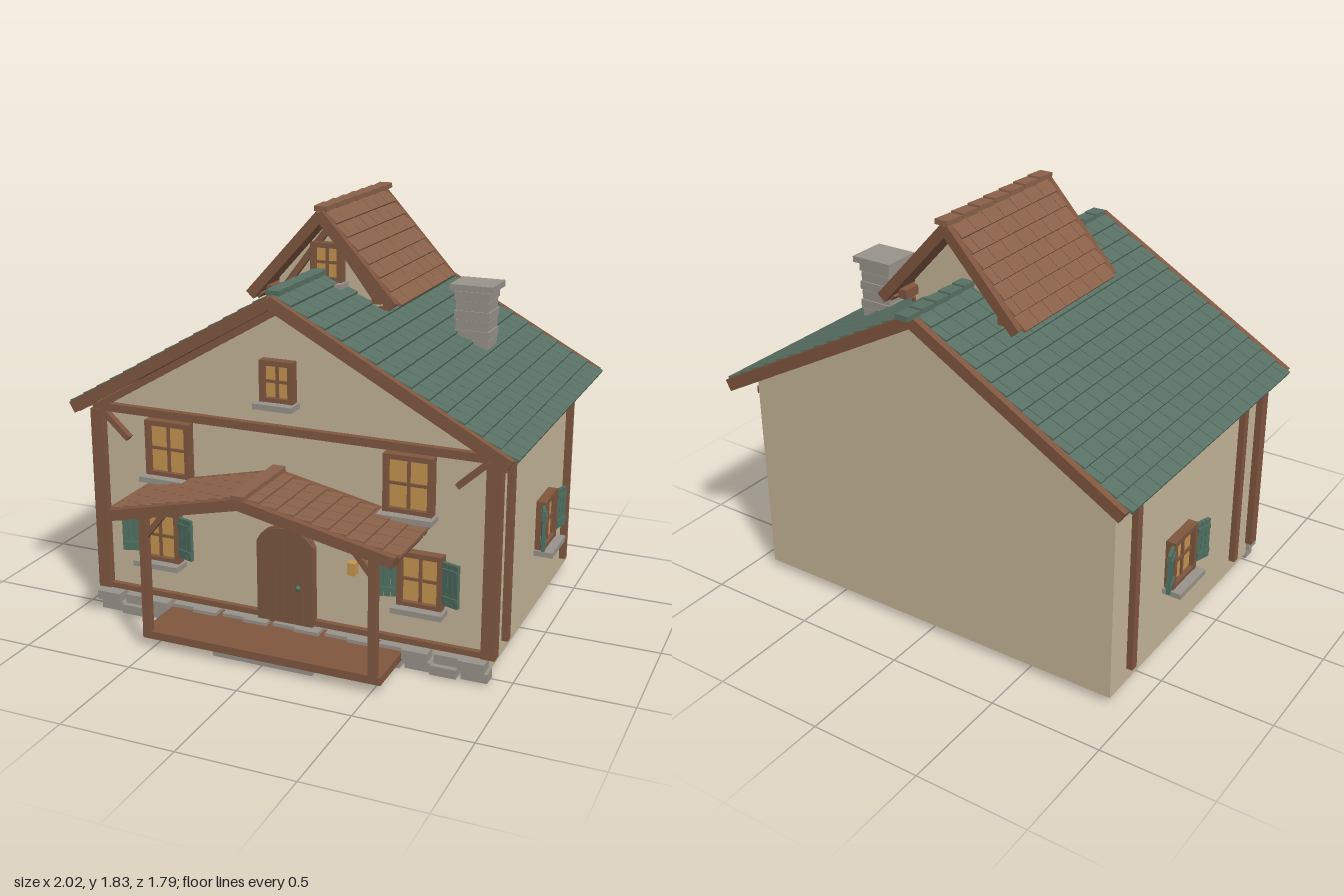
import * as THREE from 'three';
import { mergeGeometries } from 'three/addons/utils/BufferGeometryUtils.js';

const mat = (name, color) => {
  const m = new THREE.MeshStandardMaterial({ color });
  m.name = name;
  return m;
};

export function createModel() {
  const M = {
    wall: mat('plaster', 0xc4b498),
    timber: mat('timber', 0x80563f),
    brownTile: mat('brown shingle', 0x8a614a),
    greenTile: mat('green shingle', 0x587064),
    shutter: mat('shutter green', 0x4f6e60),
    stone: mat('stone', 0x98938a),
    glass: mat('warm glass', 0xc4954f),
    door: mat('door wood', 0x7a5742),
  };
  const model = new THREE.Group();
  model.name = 'cottage';

  const add = (parent, name, geo, material) => {
    const m = new THREE.Mesh(geo, material);
    m.name = name;
    parent.add(m);
    return m;
  };
  // Box geometry given by its limits
  const boxGeo = (x0, x1, y0, y1, z0, z1) =>
    new THREE.BoxGeometry(x1 - x0, y1 - y0, z1 - z0).translate((x0 + x1) / 2, (y0 + y1) / 2, (z0 + z1) / 2);
  const box = (parent, name, material, ...limits) => add(parent, name, boxGeo(...limits), material);
  // Sloping beam in a plane of constant z
  const beam = (name, x0, y0, x1, y1, z, thick, depth) => {
    const m = add(model, name, new THREE.BoxGeometry(Math.hypot(x1 - x0, y1 - y0), thick, depth), M.timber);
    m.position.set((x0 + x1) / 2, (y0 + y1) / 2, z);
    m.rotation.z = Math.atan2(y1 - y0, x1 - x0);
    return m;
  };
  const prism = (name, pts, z0, z1, material) => {
    const shape = new THREE.Shape(pts.map(p => new THREE.Vector2(...p)));
    const geo = new THREE.ExtrudeGeometry(shape, { depth: z1 - z0, bevelEnabled: false });
    return add(model, name, geo.translate(0, 0, z0), material);
  };

  // Gabled roof: deck, staggered shingles, barge boards, eave boards and ridge caps
  function roof(name, o) {
    const g = new THREE.Group();
    g.name = name;
    model.add(g);
    for (const s of [-1, 1]) {
      const dx = s * o.eaveX - o.x, dy = o.eaveY - o.y, L = Math.hypot(dx, dy);
      const side = new THREE.Group();
      side.name = name + (s > 0 ? 'LeftSlope' : 'RightSlope');
      side.position.set(o.x, o.y, 0);
      side.rotation.z = Math.atan2(dy, dx);
      g.add(side);
      const yb = (a, b) => (s > 0 ? [a, b] : [-b, -a]);
      box(side, 'deck', M.timber, 0, L - 0.01, ...yb(-0.03, 0), o.z0 + 0.01, o.z1 - 0.01);
      for (const [a, b] of [[o.z0, o.z0 + 0.03], [o.z1 - 0.03, o.z1]])
        box(side, 'bargeBoard', M.timber, 0, L, ...yb(-o.barge, 0.016), a, b);
      box(side, 'eaveBoard', M.timber, L - 0.035, L - 0.005, ...yb(-0.04, 0.002), o.z0 + 0.03, o.z1 - 0.03);
      const tiles = [], row = (L + 0.01) / o.rows;
      const za = o.z0 + 0.03, zb = o.z1 - 0.03, w = (zb - za) / o.cols;
      for (let r = 0; r < o.rows; r++) {
        const shift = r % 2 ? 0.5 : 0;
        for (let c = 0; c < o.cols + shift; c++) {
          const a = Math.max(za, za + (c - shift) * w), b = Math.min(zb, za + (c - shift + 1) * w);
          tiles.push(new THREE.BoxGeometry(row * 1.12, 0.013, b - a - 0.003)
            .rotateZ(s * 0.13)
            .translate((r + 0.5) * row, s * 0.011, (a + b) / 2));
        }
      }
      add(side, 'shingles', mergeGeometries(tiles), o.tile);
    }
    const caps = [], step = (o.z1 - o.z0 + 0.01) / o.caps;
    for (let i = 0; i < o.caps; i++)
      caps.push(new THREE.BoxGeometry(0.06, 0.022, step - 0.008)
        .rotateX(0.05).translate(o.x, o.y + 0.02, o.z1 - (i + 0.5) * step - o.capShift));
    add(g, 'ridgeCaps', mergeGeometries(caps), o.tile);
  }

  // Window facing +z, centred on its own origin at the wall
  function makeWindow(name, x, y, z, turn, w, h, shutters) {
    const g = new THREE.Group();
    g.name = name;
    g.position.set(x, y, z);
    g.rotation.y = turn;
    model.add(g);
    const a = w / 2, b = h / 2, t = 0.022;
    box(g, 'pane', M.glass, -a + 0.01, a - 0.01, -b + 0.01, b - 0.01, 0, 0.022);
    for (const s of [-1, 1]) {
      const xs = s * (a - t / 2), ys = s * (b - t / 2);
      box(g, 'jamb', M.timber, xs - t / 2, xs + t / 2, -b, b, -0.01, 0.045);
      box(g, 'rail', M.timber, -a, a, ys - t / 2, ys + t / 2, -0.01, 0.043);
    }
    box(g, 'mullion', M.timber, -0.006, 0.006, -b, b, 0, 0.032);
    box(g, 'crossbar', M.timber, -a, a, -0.006, 0.006, 0, 0.031);
    box(g, 'sill', M.stone, -a - 0.013, a + 0.013, -b - 0.02, -b + 0.004, -0.01, 0.085);
    if (!shutters) return;
    for (const s of [-1, 1]) {
      const sh = new THREE.Group();
      sh.name = 'shutter';
      sh.position.set(s * (a + 0.002), 0.01, 0.035);
      sh.rotation.y = -s * 0.3;
      g.add(sh);
      for (let i = 0; i < 3; i++) {
        const c = s * (0.013 + i * 0.026);
        box(sh, 'slat', M.shutter, c - 0.012, c + 0.012, -0.093, 0.093, -0.008, 0.008);
      }
      for (const yy of [-0.06, 0.06])
        box(sh, 'batten', M.shutter, s * 0.038 - 0.036, s * 0.038 + 0.036, yy - 0.01, yy + 0.01, -0.012, 0.014);
    }
  }

  // House body and roof
  prism('houseWalls', [[-0.9, 0.045], [0.9, 0.045], [0.9, 0.97], [-0.03, 1.475], [-0.9, 0.97]], -0.75, 0.505, M.wall);
  roof('mainRoof', { x: -0.03, y: 1.525, eaveX: 0.985, eaveY: 0.975, z0: -0.85, z1: 0.605,
    rows: 14, cols: 16, barge: 0.037, tile: M.greenTile, caps: 16, capShift: 0.04 });

  // Timber framing
  box(model, 'sillBeam', M.timber, -0.92, 0.92, 0.108, 0.133, 0.49, 0.53);
  box(model, 'tieBeam', M.timber, -0.92, 0.92, 0.945, 0.98, 0.49, 0.535);
  for (const s of [-1, 1]) {
    box(model, 'cornerPost', M.timber, s * 0.9 - 0.03, s * 0.9 + 0.03, 0.11, 0.95, 0.485, 0.54);
    beam('cornerBrace', s * 0.87, 0.94, s * 0.75, 0.83, 0.52, 0.026, 0.03);
    beam('gableRafter', s * 0.89, 0.965, -0.03, 1.465, 0.52, 0.03, 0.035);
    for (const z of [0.33, -0.605])
      box(model, 'sidePost', M.timber, s * 0.91 - 0.018, s * 0.91 + 0.018, 0.11, 0.95, z - 0.018, z + 0.018);
    box(model, 'sideRail', M.timber, s * 0.911 - 0.018, s * 0.911 + 0.018, 0.895, 0.928, -0.73, 0.48);
  }

  // Foundation stones
  const stones = [];
  for (let r = 0; r < 2; r++)
    for (let i = 0; i < 15; i++) {
      const c = -0.85 + i * 0.1214 + (r ? 0.008 : -0.004) * (i % 2 ? 1 : -1);
      const y = 0.018 + r * 0.046;
      stones.push(boxGeo(c - 0.056, c + 0.056, y, y + 0.041, 0.5, 0.565 + 0.015 * ((i + r) % 2)));
    }
  for (let i = 0; i < 4; i++)
    stones.push(boxGeo(-0.26 + i * 0.13, -0.14 + i * 0.13, 0.016, 0.05, 0.08, 0.15));
  add(model, 'foundationStones', mergeGeometries(stones), M.stone);

  // Windows
  for (const s of [-1, 1]) {
    makeWindow('upperWindow', s * 0.548, 0.81, 0.505, 0, 0.212, 0.25, false);
    makeWindow('lowerWindow', s * 0.605, 0.405, 0.505, 0, 0.195, 0.24, true);
    makeWindow('sideWindow', s * 0.9, 0.445, -0.225, s * Math.PI / 2, 0.2, 0.23, true);
  }
  makeWindow('atticWindow', -0.028, 1.17, 0.505, 0, 0.15, 0.18, false);

  // Arched plank door
  const archY = x => 0.445 + 0.09 * Math.sqrt(Math.max(0, 1 - (x / 0.133) ** 2));
  const arch = (x0, x1, n, dy) => {
    const pts = [[x0, 0.1], [x1, 0.1]];
    for (let i = 0; i <= n; i++) {
      const x = x1 + (x0 - x1) * i / n;
      pts.push([x, archY(x) + dy]);
    }
    return pts;
  };
  prism('doorBacking', arch(-0.132, 0.132, 16, 0.004), 0.5, 0.53, M.timber);
  for (let i = 0; i < 6; i++) {
    const x = -0.13 + i * 0.0434;
    prism('doorPlank', arch(x, x + 0.041, 3, 0), 0.51, 0.543, M.door);
  }
  add(model, 'doorKnob', new THREE.SphereGeometry(0.012, 10, 8), M.shutter).position.set(0.066, 0.28, 0.552);
  box(model, 'lantern', M.glass, 0.343, 0.378, 0.442, 0.495, 0.64, 0.678);

  // Porch
  box(model, 'porchFloor', M.timber, -0.54, 0.545, 0.055, 0.09, 0.505, 0.815);
  box(model, 'lowerStep', M.stone, -0.23, 0.228, 0.01, 0.042, 0.67, 0.77);
  box(model, 'upperStep', M.stone, -0.18, 0.178, 0.03, 0.058, 0.63, 0.73);
  for (const s of [-1, 1]) {
    const x = s * 0.513;
    box(model, 'porchPost', M.timber, x - 0.017, x + 0.017, 0.09, 0.615, 0.795, 0.83);
    box(model, 'porchBeam', M.timber, x - 0.018, x + 0.018, 0.595, 0.625, 0.5, 0.835);
    beam('porchBrace', s * 0.51, 0.52, s * 0.42, 0.63, 0.812, 0.024, 0.025);
  }
  roof('porchRoof', { x: -0.037, y: 0.768, eaveX: 0.625, eaveY: 0.632, z0: 0.505, z1: 0.895,
    rows: 9, cols: 4, barge: 0.03, tile: M.brownTile, caps: 4, capShift: 0 });

  // Roof dormer
  prism('dormerWalls', [[-0.24, 1.3], [0.24, 1.3], [0.24, 1.495], [0, 1.76], [-0.24, 1.495]], -0.46, 0.06, M.wall);
  roof('dormerRoof', { x: 0, y: 1.805, eaveX: 0.335, eaveY: 1.437, z0: -0.575, z1: 0.172,
    rows: 7, cols: 7, barge: 0.03, tile: M.brownTile, caps: 7, capShift: 0.01 });
  for (const s of [-1, 1]) {
    box(model, 'dormerPlate', M.timber, s * 0.245 - 0.02, s * 0.245 + 0.02, 1.435, 1.475, -0.54, 0.14);
    box(model, 'dormerRail', M.timber, s * 0.245 - 0.015, s * 0.245 + 0.015, 1.385, 1.41, -0.46, 0.065);
    beam('dormerRafter', s * 0.23, 1.43, 0, 1.73, 0.068, 0.028, 0.03);
  }
  makeWindow('dormerWindow', 0, 1.585, 0.06, 0, 0.145, 0.17, false);

  // Chimney
  const courses = [boxGeo(0.485, 0.63, 1.12, 1.455, -0.335, -0.205)];
  for (let i = 0; i < 7; i++) {
    const y = 1.15 + i * 0.043, w = 0.08 - (i % 2) * 0.005;
    courses.push(boxGeo(0.557 - w, 0.557 + w, y, y + 0.037, -0.27 - w + 0.008, -0.27 + w - 0.008));
  }
  courses.push(boxGeo(0.458, 0.655, 1.45, 1.477, -0.362, -0.182));
  add(model, 'chimney', mergeGeometries(courses), M.stone);

  return model;
}
